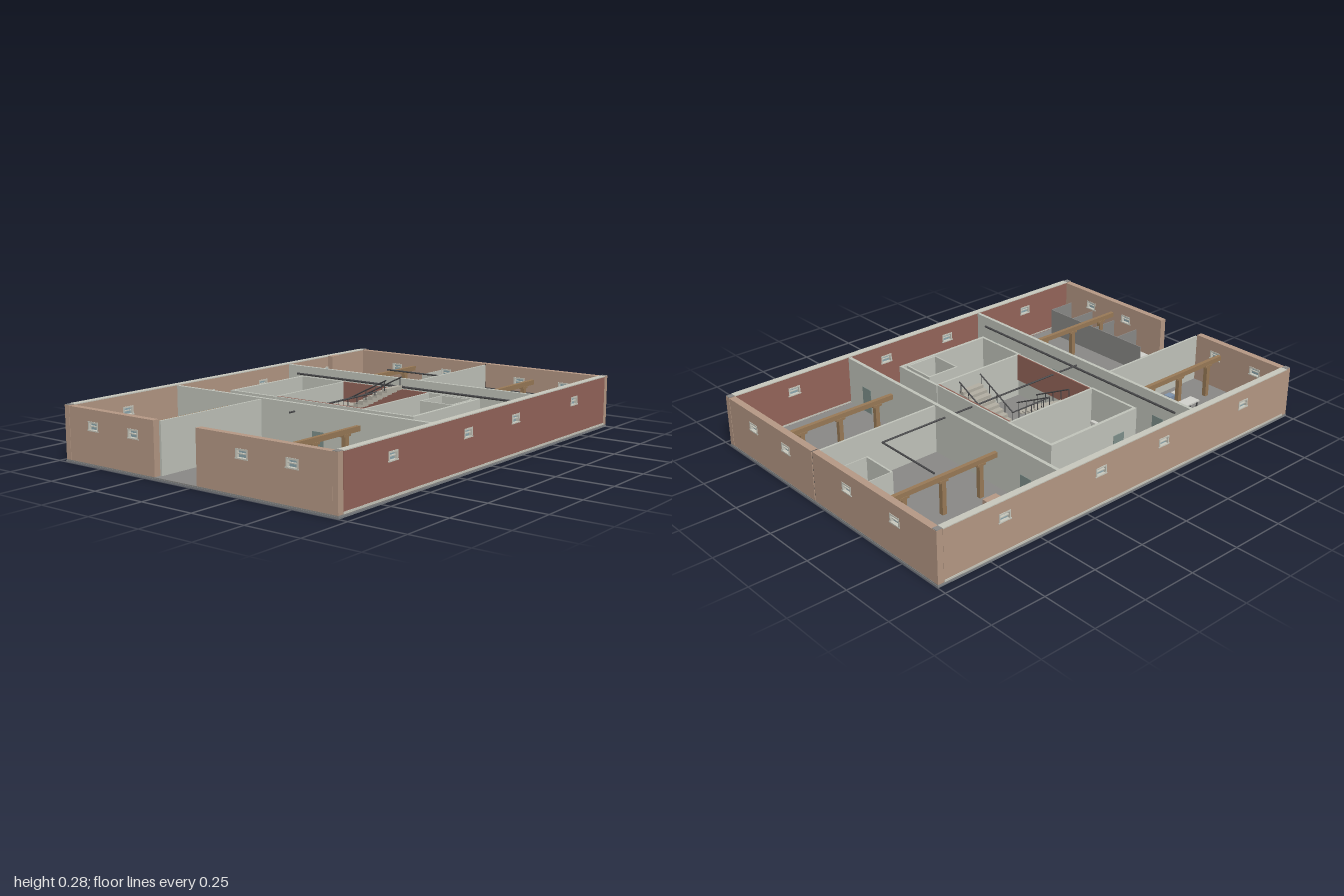
import * as THREE from 'three';

const mat = (color) => new THREE.MeshStandardMaterial({ color });
const M = {
  floor: mat(0x8b8a88), slab: mat(0x7c8084), tan: mat(0xb79a86), red: mat(0x96665b),
  wall: mat(0xc3c6bd), cap: mat(0xcacabf), wood: mat(0x9a7b58), dark: mat(0x4a4a4c),
  glass: mat(0x8fa9b0), door: mat(0x7f918c), step: mat(0xb4b0a4), white: mat(0xd4d4ce), blue: mat(0x7f93ad),
};
const FLOOR = 0.012, TOP = 0.24;

// Box given by its minimum and maximum on each axis
function block(parent, name, m, x0, x1, y0, y1, z0, z1) {
  const mesh = new THREE.Mesh(new THREE.BoxGeometry(x1 - x0, y1 - y0, z1 - z0), m);
  mesh.position.set((x0 + x1) / 2, (y0 + y1) / 2, (z0 + z1) / 2);
  mesh.name = name;
  parent.add(mesh);
  return mesh;
}

// Round bar between two points
function bar(parent, name, a, b, r = 0.003, m = M.dark) {
  const p = new THREE.Vector3(...a), q = new THREE.Vector3(...b);
  const mesh = new THREE.Mesh(new THREE.CylinderGeometry(r, r, p.distanceTo(q), 8), m);
  mesh.position.copy(p).add(q).multiplyScalar(0.5);
  mesh.quaternion.setFromUnitVectors(new THREE.Vector3(0, 1, 0), q.sub(p).normalize());
  mesh.name = name;
  parent.add(mesh);
}

// Wall along x with rectangular window holes, turned by its group
function outerWall(parent, name, m, from, to, depth, holes) {
  const s = new THREE.Shape();
  s.moveTo(from, FLOOR).lineTo(to, FLOOR).lineTo(to, TOP - 0.004).lineTo(from, TOP - 0.004).closePath();
  for (const x of holes) {
    const h = new THREE.Path();
    h.moveTo(x - 0.027, 0.15).lineTo(x - 0.027, 0.185).lineTo(x + 0.027, 0.185).lineTo(x + 0.027, 0.15).closePath();
    s.holes.push(h);
  }
  const wall = new THREE.Mesh(new THREE.ExtrudeGeometry(s, { depth, bevelEnabled: false }), m);
  wall.name = name;
  parent.add(wall);
  // louvred windows
  for (const x of holes) {
    const w = new THREE.Group();
    w.name = 'window';
    for (const k of [-1, 1]) block(w, 'windowJamb', M.cap, x + k * 0.026 - 0.003, x + k * 0.026 + 0.003, 0.15, 0.185, -0.002, depth + 0.002);
    block(w, 'windowHead', M.cap, x - 0.029, x + 0.029, 0.18, 0.187, -0.002, depth + 0.002);
    block(w, 'windowSill', M.cap, x - 0.032, x + 0.032, 0.147, 0.152, -0.003, depth + 0.003);
    block(w, 'windowPane', M.glass, x - 0.026, x + 0.026, 0.15, 0.185, depth * 0.4, depth * 0.6);
    block(w, 'windowSlat', M.cap, x - 0.026, x + 0.026, 0.165, 0.169, depth * 0.2, depth * 0.9);
    parent.add(w);
  }
}

function buildShell(g) {
  block(g, 'slab', M.slab, -1, 1, 0, 0.007, -0.71, 0.71);
  block(g, 'floor', M.floor, -0.998, 0.998, 0.007, FLOOR, -0.708, 0.708);
  const side = (name, z, ry, x = 0) => {
    const s = new THREE.Group();
    s.name = name;
    s.position.set(x, 0, z);
    s.rotation.y = ry;
    g.add(s);
    return s;
  };
  const xs = [-0.68, -0.18, 0.18, 0.68];
  outerWall(side('frontSide', 0.68, 0), 'frontWall', M.red, -0.97, 0.97, 0.028, xs);
  outerWall(side('backSide', -0.68, Math.PI), 'backWall', M.tan, -0.97, 0.97, 0.028, xs);
  // local x runs towards -z on the left side, towards +z on the right side
  const left = side('leftSide', 0, Math.PI / 2, 0.967);
  outerWall(left, 'leftWallFront', M.tan, -0.68, -0.071, 0.03, [-0.5, -0.26]);
  outerWall(left, 'leftWallBack', M.tan, -0.065, 0.68, 0.03, [0.16, 0.46]);
  block(left, 'wallJoint', M.dark, -0.071, -0.065, FLOOR, TOP - 0.005, 0.002, 0.027);
  const right = side('rightSide', 0, -Math.PI / 2, -0.967);
  outerWall(right, 'rightWallBack', M.tan, -0.68, -0.195, 0.03, [-0.54, -0.31]);
  outerWall(right, 'rightWallFront', M.tan, 0.03, 0.68, 0.03, [0.26, 0.5]);
  for (const k of [-1, 1]) {
    block(g, 'wallCap', M.cap, -0.97, 0.97, TOP - 0.004, TOP, k * 0.695 - 0.015, k * 0.695 + 0.015);
    block(g, 'wallBase', M.cap, -0.97, 0.97, FLOOR, 0.021, k * 0.695 - 0.015, k * 0.695 + 0.015);
    for (const j of [-1, 1]) {
      block(g, 'cornerPost', M.tan, k * 0.984 - 0.014, k * 0.984 + 0.014, FLOOR, TOP - 0.002, j * 0.694 - 0.013, j * 0.694 + 0.013);
      block(g, 'cornerCap', M.floor, k * 0.984 - 0.013, k * 0.984 + 0.013, TOP - 0.002, TOP, j * 0.694 - 0.012, j * 0.694 + 0.012);
    }
  }
  block(g, 'chimney', M.tan, 0.675, 0.74, FLOOR, TOP, -0.68, -0.652);
}

function buildPartitions(g) {
  for (const k of [-1, 1]) {
    block(g, 'longPartition', M.wall, k * 0.38 - 0.008, k * 0.38 + 0.008, FLOOR, TOP - 0.005, -0.68, 0.68);
    for (const z of [-0.5, 0.12, 0.55]) block(g, 'partitionDoor', M.door, k * 0.38 - 0.01, k * 0.38 + 0.01, FLOOR, 0.13, z - 0.03, z + 0.03);
    bar(g, 'pipe', [k * 0.352, 0.2, -0.61], [k * 0.352, 0.2, 0.6], 0.005);
    // timber beams on posts
    for (const z of [-0.345, 0.34]) {
      block(g, 'beam', M.wood, k * 0.68 - 0.275, k * 0.68 + 0.275, 0.165, 0.187, z - 0.009, z + 0.009);
      for (const x of [0.49, 0.68, 0.87]) {
        block(g, 'beamPost', M.wood, k * x - 0.01, k * x + 0.01, FLOOR, 0.165, z - 0.01, z + 0.01);
        block(g, 'postHead', M.wood, k * x - 0.022, k * x + 0.022, 0.157, 0.167, z - 0.011, z + 0.011);
      }
    }
  }
  block(g, 'rightRoomWall', M.wall, -0.967, -0.388, FLOOR, TOP - 0.01, -0.195, -0.185);
  block(g, 'leftRoomWall', M.wall, 0.388, 0.967, FLOOR, TOP - 0.01, 0.06, 0.07);
  bar(g, 'crossPipe', [-0.42, 0.2, -0.003], [0.71, 0.2, -0.003], 0.004);
  bar(g, 'crossPipe', [0.71, 0.2, -0.003], [0.71, 0.2, -0.335], 0.004);
  bar(g, 'wallPipe', [0.955, 0.12, 0.08], [0.955, 0.12, 0.61], 0.003);
}

function buildCore(g) {
  const H = 0.215;
  for (const k of [-1, 1]) {
    block(g, 'coreEndWall', M.wall, -0.245, 0.245, FLOOR, H, k * 0.486 - 0.007, k * 0.486 + 0.007);
    block(g, 'coreDoor', M.door, k * 0.14 - 0.03, k * 0.14 + 0.03, FLOOR, 0.13, k * 0.486 - 0.01, k * 0.486 + 0.01);
    block(g, 'coreCrossWall', M.wall, -0.245, 0.245, FLOOR, H, k * 0.235 - 0.005, k * 0.235 + 0.005);
    for (const j of [-1, 1])
      block(g, 'coreSideWall', M.wall, k * 0.239 - 0.006, k * 0.239 + 0.006, FLOOR, H, j * 0.36 - 0.12, j * 0.36 + 0.12);
    block(g, 'stairwellWall', M.wall, k * 0.237 - 0.004, k * 0.237 + 0.004, FLOOR, H, -0.23, 0.23);
    block(g, 'stairwellLining', M.red, k * 0.23 - 0.003, k * 0.23 + 0.003, 0.09, H + 0.001, -0.23, 0.23);
  }
  // lift shaft
  for (const k of [-1, 1]) {
    block(g, 'shaftWall', M.wall, 0.136 + k * 0.077 - 0.004, 0.136 + k * 0.077 + 0.004, FLOOR, H, 0.315, 0.475);
    block(g, 'shaftWall', M.wall, 0.06, 0.21, FLOOR, H, 0.395 + k * 0.076 - 0.004, 0.395 + k * 0.076 + 0.004);
  }
  block(g, 'lightFloor', M.white, -0.232, 0.058, FLOOR, 0.016, 0.24, 0.479);
  // staircase: right flight up to the landing, left flight up from it
  const n = 8, z0 = -0.11, run = 0.21 / n, mid = 0.125;
  block(g, 'landing', M.step, -0.226, 0.226, mid - 0.01, mid, -0.23, z0);
  for (let i = 0; i < n; i++) {
    const z = z0 + i * run, rise = 0.108 / n;
    const yl = mid + (i + 1) * rise, yr = mid - (i + 1) * rise;
    block(g, 'stepLeft', M.step, 0.112, 0.224, yl - rise - 0.004, yl, z, z + run);
    block(g, 'stepRight', M.step, -0.224, -0.112, yr - rise * 0.5, yr, z, z + run);
  }
  for (const x of [0.107, 0.223]) {
    bar(g, 'handrailLeft', [x, 0.168, z0], [x, 0.273, 0.1]);
    bar(g, 'handrailRight', [-x, 0.168, z0], [-x, 0.063, 0.1]);
    for (let i = 0; i < 5; i++) {
      const z = z0 + i * 0.05, d = i * 0.025;
      bar(g, 'baluster', [x, mid + d, z], [x, 0.168 + d, z], 0.0018);
      bar(g, 'baluster', [-x, mid - d, z], [-x, 0.168 - d, z], 0.0018);
    }
  }
  bar(g, 'landingRail', [-0.107, 0.168, z0], [0.107, 0.168, z0]);
  for (let i = 0; i <= 6; i++) bar(g, 'baluster', [-0.107 + i * 0.0357, mid, z0], [-0.107 + i * 0.0357, 0.168, z0], 0.0018);
  // washroom fittings
  for (const z of [-0.42, -0.35, -0.28]) block(g, 'basin', M.white, -0.229, -0.212, 0.06, 0.072, z - 0.025, z + 0.025);
  block(g, 'cistern', M.white, 0.155, 0.187, FLOOR, 0.065, -0.456, -0.443);
  bar(g, 'toiletBowl', [0.171, FLOOR, -0.425], [0.171, 0.04, -0.425], 0.016, M.white);
}

function buildFurnishings(g) {
  // row of cubicles by the right wall
  block(g, 'cubicleFront', M.floor, -0.832, -0.828, FLOOR, 0.14, 0.03, 0.64);
  for (let i = 0; i < 4; i++) {
    const z = 0.11 + i * 0.152;
    block(g, 'cubicleDivider', M.floor, -0.967, -0.83, FLOOR, 0.14, z + 0.074, z + 0.078);
    block(g, 'cubicleSeat', M.white, -0.94, -0.878, FLOOR, 0.05, z - 0.03, z + 0.03);
  }
  // table and stools
  block(g, 'tableTop', M.white, -0.735, -0.625, 0.055, 0.062, -0.425, -0.373);
  for (const x of [-0.727, -0.633]) for (const z of [-0.418, -0.38])
    block(g, 'tableLeg', M.dark, x - 0.003, x + 0.003, FLOOR, 0.055, z - 0.003, z + 0.003);
  block(g, 'stool', M.white, -0.756, -0.724, FLOOR, 0.045, -0.292, -0.264);
  block(g, 'blueStool', M.blue, -0.71, -0.675, FLOOR, 0.05, -0.302, -0.268);
  block(g, 'cabinet', M.wood, -0.585, -0.46, FLOOR, 0.08, -0.665, -0.64);
  // closet by the left wall
  block(g, 'closetFront', M.wall, 0.8, 0.808, FLOOR, 0.18, -0.19, -0.025);
  for (const z of [-0.188, -0.027]) block(g, 'closetSide', M.wall, 0.808, 0.967, FLOOR, 0.18, z - 0.002, z + 0.002);
  block(g, 'closetTank', M.floor, 0.88, 0.95, FLOOR, 0.1, -0.175, -0.05);
  block(g, 'ventBox', M.white, -0.215, -0.197, FLOOR, 0.06, -0.548, -0.528);
}

export function createModel() {
  const model = new THREE.Group();
  model.name = 'buildingFloor';
  for (const [name, build] of [['shell', buildShell], ['partitions', buildPartitions], ['core', buildCore], ['furnishings', buildFurnishings]]) {
    const g = new THREE.Group();
    g.name = name;
    build(g);
    model.add(g);
  }
  return model;
}
